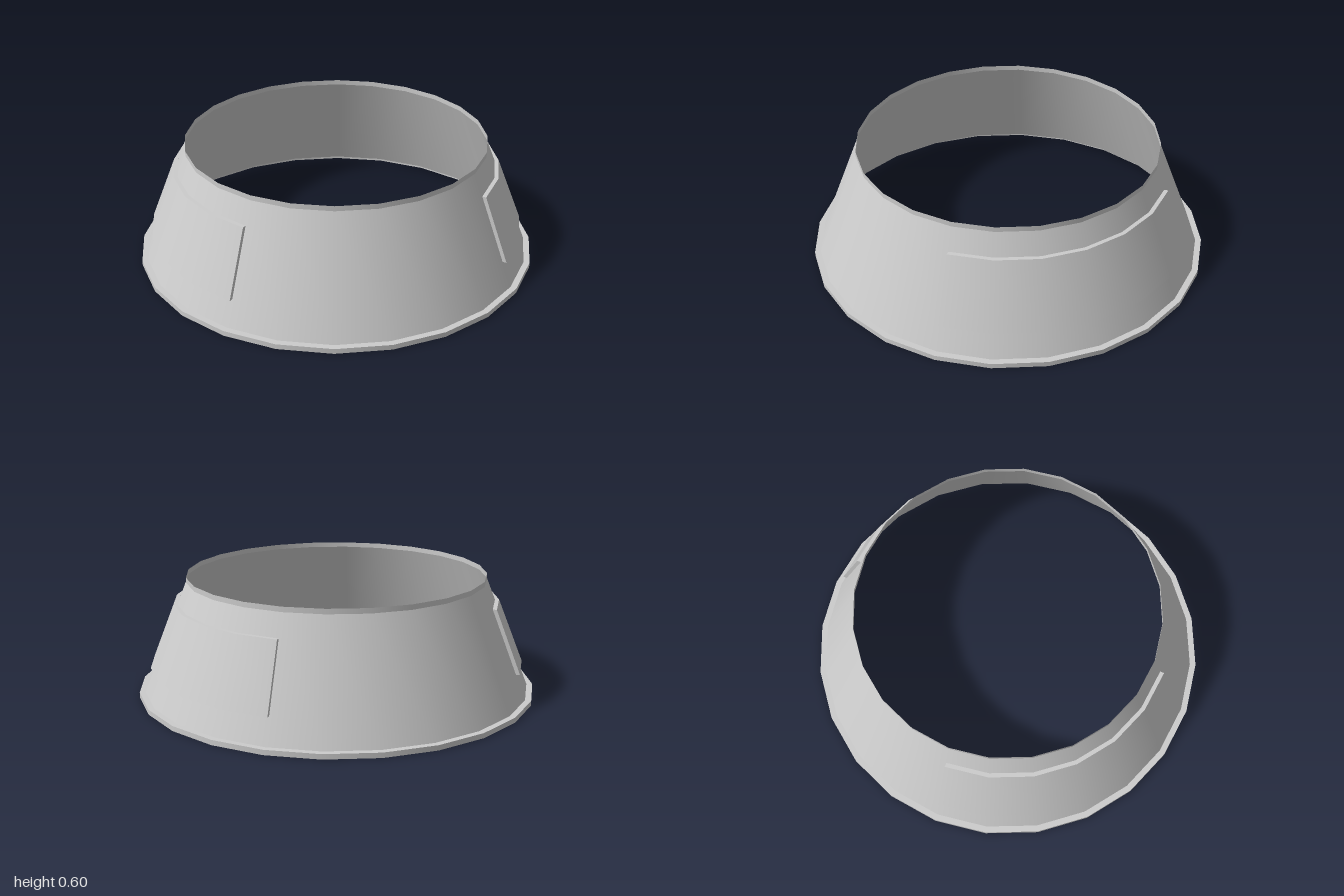
import * as THREE from 'three';
import { mergeGeometries } from 'three/addons/utils/BufferGeometryUtils.js';

// Revolves each profile edge on its own: smooth around, sharp between edges
function revolve(profile, segments, start, sweep) {
  const parts = [];
  for (let i = 0; i < profile.length - 1; i++) {
    const edge = [profile[i], profile[i + 1]].map(([r, y]) => new THREE.Vector2(r, y));
    parts.push(new THREE.LatheGeometry(edge, segments, start, sweep));
  }
  return parts;
}

export function createModel() {
  const group = new THREE.Group();
  const grey = new THREE.MeshStandardMaterial({ color: 0xcccccc, side: THREE.DoubleSide });
  grey.name = 'lightGrey';

  const add = (name, parts) => {
    const mesh = new THREE.Mesh(mergeGeometries(parts), grey);
    mesh.name = name;
    group.add(mesh);
  };

  // Thin open shell: base flange, sloping wall and upright top lip
  add('baseFlange', revolve([[1, 0], [1, 0.025], [0.97, 0.025]], 24, 0, Math.PI * 2));
  add('slopingWall', revolve([[0.97, 0.025], [0.75, 0.575]], 24, 0, Math.PI * 2));
  add('topLip', revolve([[0.75, 0.575], [0.75, 0.6]], 24, 0, Math.PI * 2));

  // Raised quarter-turn plates lying on the wall at each side
  const section = [[0.92, 0.15], [0.94, 0.15], [0.814, 0.467], [0.794, 0.467]];
  for (const [name, middle] of [['leftPlate', Math.PI / 2], ['rightPlate', -Math.PI / 2]]) {
    const start = middle - Math.PI / 4;
    const parts = revolve([...section, section[0]], 6, start, Math.PI / 2);
    // End caps; the starting one is turned to face outwards
    for (const [angle, flip] of [[start, true], [start + Math.PI / 2, false]]) {
      const cap = new THREE.ShapeGeometry(
        new THREE.Shape(section.map(([r, y]) => new THREE.Vector2(flip ? -r : r, y))));
      cap.rotateY(angle - Math.PI / 2 + (flip ? Math.PI : 0));
      // Seen from +z the section faces the start of the sweep
      parts.push(cap);
    }
    add(name, parts);
  }
  return group;
}
